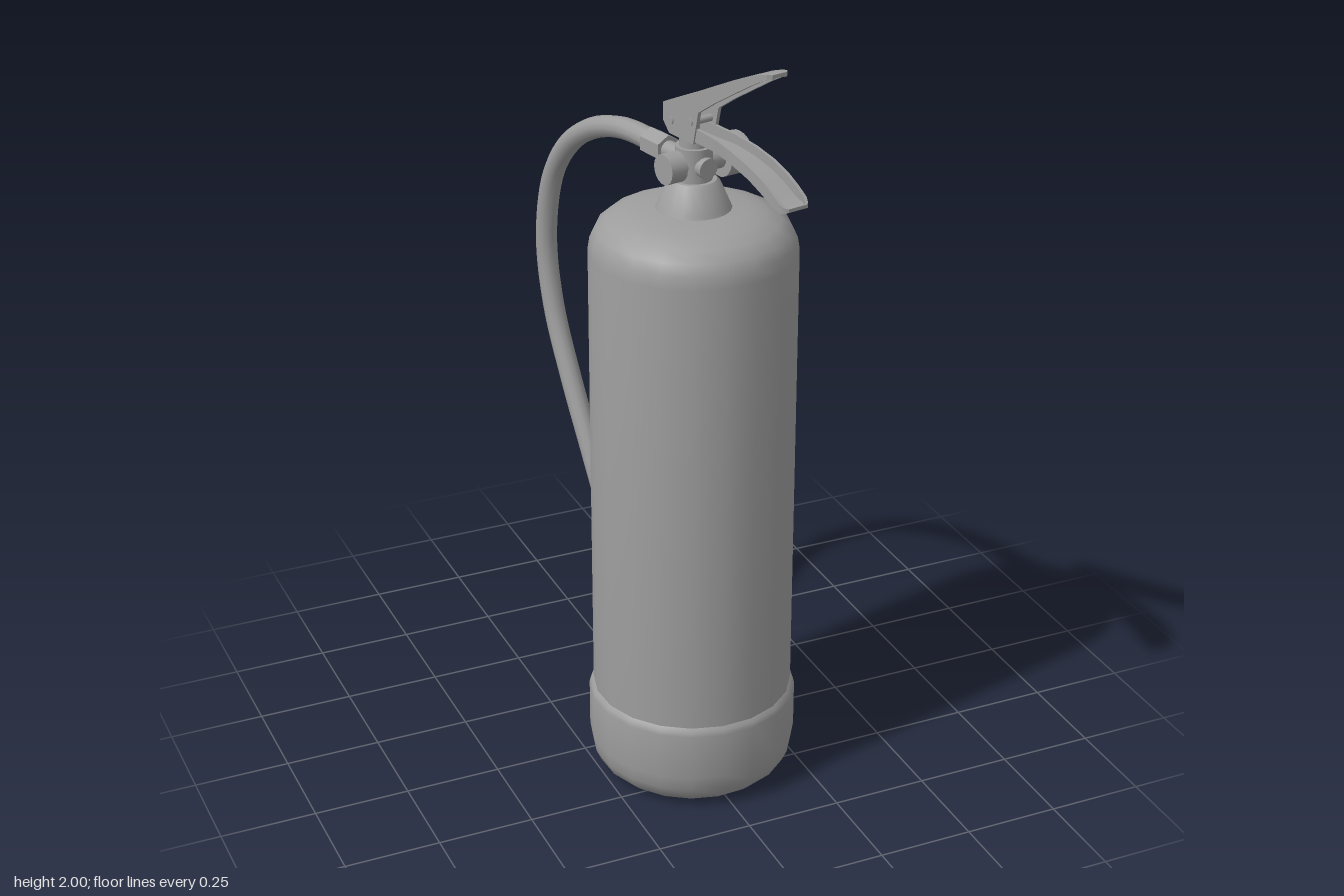
import * as THREE from 'three';
import { toCreasedNormals } from 'three/addons/utils/BufferGeometryUtils.js';

const smooth = new THREE.MeshStandardMaterial({ color: 0x9d9d9d });
const flat = new THREE.MeshStandardMaterial({ color: 0x9d9d9d, flatShading: true });

function add(parent, name, geometry, material = smooth) {
  const mesh = new THREE.Mesh(geometry, material);
  mesh.name = name;
  parent.add(mesh);
  return mesh;
}

function lathe(points) {
  const g = new THREE.LatheGeometry(points.map(([r, y]) => new THREE.Vector2(r, y)), 20);
  return toCreasedNormals(g, 0.7);
}

// Cylinder between two positions along one axis, starting from a given origin
function rod(parent, name, axis, from, to, r, [x, y, z], sides = 18, r2 = r) {
  const g = new THREE.CylinderGeometry(r2, r, to - from, sides);
  g.translate(0, (from + to) / 2, 0);
  if (axis === 'x') g.rotateZ(-Math.PI / 2);
  if (axis === 'z') g.rotateX(Math.PI / 2);
  g.translate(x, y, z);
  return add(parent, name, g, sides <= 8 ? flat : smooth);
}

// Folded sheet lever: each station is [z, closed edge y, open edge y, half width]
function channel(stations, wall) {
  const up = stations[0][1] > stations[0][2];
  const k = up ? wall : -wall;
  const rings = stations.map(([z, c, o, w]) => [
    [-w, o], [-w, c], [w, c], [w, o],
    [w - wall, o], [w - wall, c - k], [wall - w, c - k], [wall - w, o],
  ].map(([x, y]) => [x, y, z]));
  const pos = [];
  const quad = (a, b, c, d) => {
    if (!up) [b, d] = [d, b];
    pos.push(...a, ...b, ...c, ...a, ...c, ...d);
  };
  for (let j = 0; j < rings.length - 1; j++) {
    for (let i = 0; i < 8; i++) {
      const n = (i + 1) % 8;
      quad(rings[j][i], rings[j + 1][i], rings[j + 1][n], rings[j][n]);
    }
  }
  const first = rings[0], last = rings[rings.length - 1];
  for (const [a, b, c, d] of [[0, 1, 6, 7], [1, 2, 5, 6], [2, 3, 4, 5]]) {
    quad(first[a], first[b], first[c], first[d]);
    quad(last[d], last[c], last[b], last[a]);
  }
  const g = new THREE.BufferGeometry();
  g.setAttribute('position', new THREE.Float32BufferAttribute(pos, 3));
  return toCreasedNormals(g, 0.5);
}

export function createModel() {
  const model = new THREE.Group();
  model.name = 'fireExtinguisher';

  // Everything shares the vertical axis of the tank and is turned slightly
  const body = new THREE.Group();
  body.name = 'turnedBody';
  body.position.z = 0.138;
  body.rotation.y = 0.204;
  model.add(body);

  // Tank, base cup and neck
  add(body, 'tank', lathe([
    [0.258, 0.2], [0.258, 1.46], [0.253, 1.492], [0.24, 1.52], [0.214, 1.543],
    [0.176, 1.56], [0.135, 1.569], [0, 1.576],
  ]));
  add(body, 'baseCup', lathe([
    [0, 0], [0.195, 0], [0.225, 0.01], [0.25, 0.033], [0.263, 0.062], [0.269, 0.1],
    [0.269, 0.225], [0.266, 0.238], [0.256, 0.248],
  ]));
  add(body, 'neck', lathe([
    [0.096, 1.565], [0.09, 1.58], [0.066, 1.635], [0.056, 1.645], [0, 1.645],
  ]));

  // Valve
  const valve = new THREE.Group();
  valve.name = 'valve';
  body.add(valve);
  const centre = [0, 1.685, 0];
  rod(valve, 'valveBody', 'y', -0.05, 0.045, 0.046, centre);
  rod(valve, 'valveCollar', 'y', 0.045, 0.075, 0.036, centre);
  rod(valve, 'valveStem', 'y', 0.075, 0.12, 0.014, centre, 12);
  rod(valve, 'frontPort', 'z', 0, 0.06, 0.026, centre, 14);
  rod(valve, 'sidePlug', 'x', -0.09, -0.045, 0.038, centre);
  rod(valve, 'plugShank', 'x', -0.05, 0, 0.028, centre);
  rod(valve, 'gaugeShank', 'x', 0, 0.08, 0.03, centre);
  rod(valve, 'gauge', 'x', 0.074, 0.133, 0.053, centre);
  rod(valve, 'gaugeFace', 'x', 0.132, 0.142, 0.046, centre);

  // Squeeze lever above, opening downwards
  const h = 0.034;
  add(body, 'squeezeLever', channel([
    [-0.08, 1.822, 1.777, h], [-0.055, 1.834, 1.75, h], [0.043, 1.88, 1.75, h],
    [0.063, 1.889, 1.835, h], [0.125, 1.919, 1.876, h], [0.2, 1.955, 1.921, h],
    [0.26, 1.982, 1.957, h], [0.295, 1.994, 1.976, h], [0.318, 2, 1.987, h * 0.85],
    [0.327, 2, 1.989, h * 0.6],
  ], 0.009));

  // Carrying handle below, opening upwards
  const w = 0.04;
  add(body, 'carryHandle', channel([
    [-0.06, 1.752, 1.79, 0.03], [0.05, 1.755, 1.79, 0.03], [0.135, 1.757, 1.788, 0.034],
    [0.2, 1.749, 1.78, 0.038], [0.268, 1.734, 1.766, w], [0.32, 1.714, 1.748, w],
    [0.352, 1.698, 1.732, w], [0.385, 1.689, 1.712, w], [0.398, 1.69, 1.704, 0.034],
    [0.404, 1.694, 1.702, 0.026],
  ], 0.008));

  // Lever pins
  for (const [name, y, z] of [['leverPin', 1.803, 0.033], ['handlePin', 1.785, -0.045]]) {
    rod(body, name, 'x', -0.037, 0.037, 0.009, [0, y, z], 10);
  }

  // Hose and its fittings
  rod(body, 'hoseNipple', 'z', -0.115, 0, 0.023, centre, 14);
  rod(body, 'hoseNut', 'z', -0.18, -0.105, 0.036, centre, 6);
  const path = [
    [1.686, -0.17], [1.687, -0.24], [1.678, -0.32], [1.64, -0.435], [1.566, -0.544],
    [1.45, -0.625], [1.264, -0.661], [1.08, -0.632], [0.893, -0.553], [0.707, -0.458],
    [0.522, -0.368], [0.363, -0.324], [0.23, -0.316],
  ].map(([y, z]) => new THREE.Vector3(0, y, z));
  add(body, 'hose', new THREE.TubeGeometry(new THREE.CatmullRomCurve3(path), 60, 0.028, 12));

  // Nozzle in its clip
  const end = [0, 0, -0.316];
  rod(body, 'nozzleCollar', 'y', 0.17, 0.258, 0.034, end, 6);
  rod(body, 'nozzleTip', 'y', 0.075, 0.13, 0.017, end, 12, 0.021);
  const clip = new THREE.Shape();
  clip.moveTo(-0.083, 0.235);
  clip.lineTo(0.083, 0.235);
  clip.lineTo(0.083, 0.3);
  clip.quadraticCurveTo(0.078, 0.358, 0.03, 0.361);
  clip.lineTo(-0.03, 0.361);
  clip.quadraticCurveTo(-0.078, 0.358, -0.083, 0.3);
  clip.closePath();
  const clipGeometry = new THREE.ExtrudeGeometry(clip, { depth: 0.062, bevelEnabled: false, curveSegments: 5 });
  clipGeometry.rotateX(-Math.PI / 2);
  clipGeometry.translate(0, 0.119, 0);
  add(body, 'nozzleClip', clipGeometry, flat);

  return model;
}
